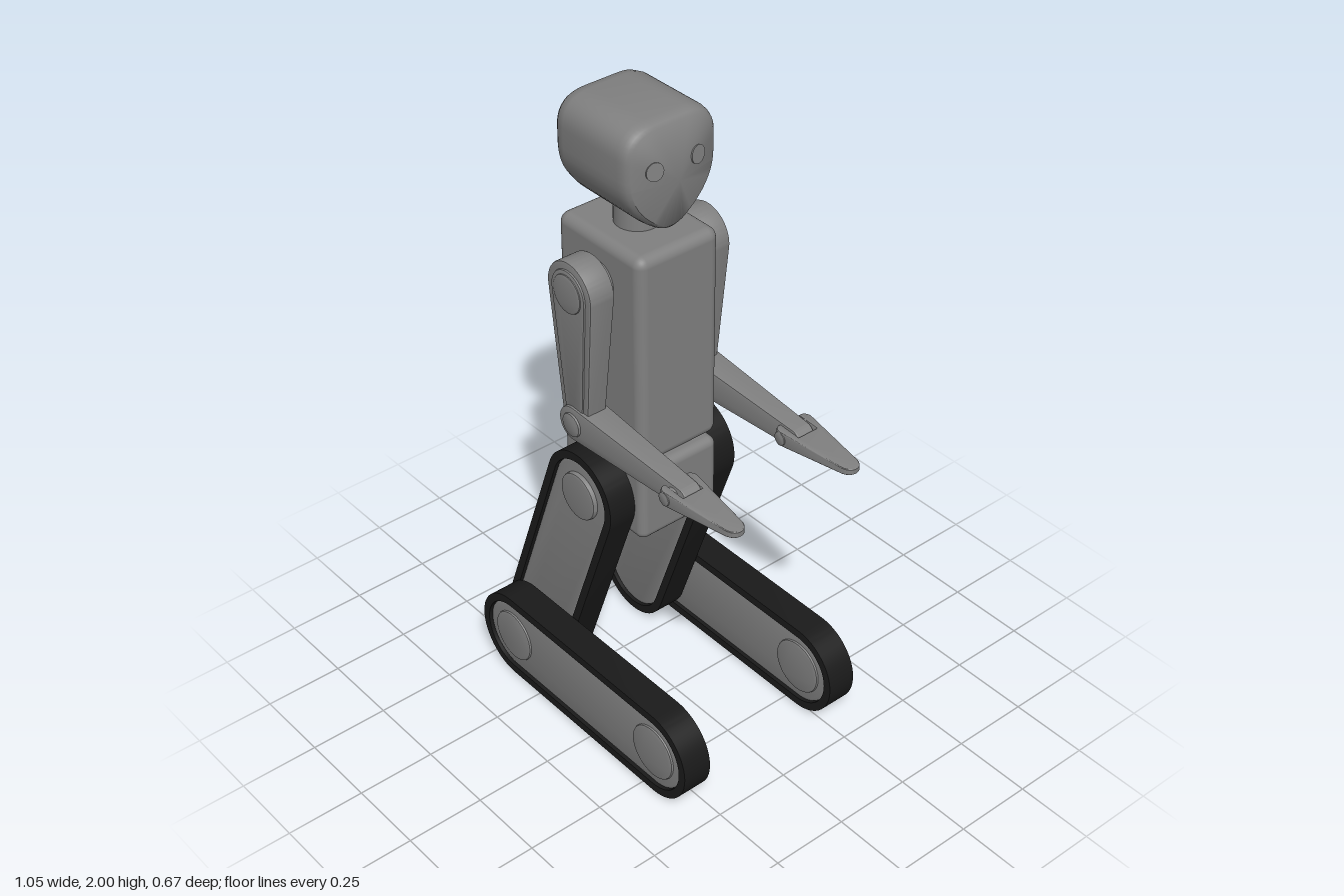
import * as THREE from 'three';
import { toCreasedNormals } from 'three/addons/utils/BufferGeometryUtils.js';
import { RoundedBoxGeometry } from 'three/addons/geometries/RoundedBoxGeometry.js';

const grey = new THREE.MeshStandardMaterial({ color: 0x808080 });
const rubber = new THREE.MeshStandardMaterial({ color: 0x1a1a1a });

function add(parent, name, geo, x = 0, y = 0, z = 0, mat = grey) {
  const mesh = new THREE.Mesh(geo, mat);
  mesh.name = name;
  mesh.position.set(x, y, z);
  parent.add(mesh);
  return mesh;
}

// Outline of a belt wrapped round two circles
function trace(path, [x1, y1, r1], [x2, y2, r2]) {
  const a = Math.atan2(y2 - y1, x2 - x1);
  const b = Math.acos((r1 - r2) / Math.hypot(x2 - x1, y2 - y1));
  path.absarc(x1, y1, r1, a + b, a - b + Math.PI * 2, false);
  path.absarc(x2, y2, r2, a - b, a + b, false);
  return path;
}

// Extrusion centred on z = 0, with a small bevel kept inside the outline
function slab(shape, width, bevel) {
  const geo = new THREE.ExtrudeGeometry(shape, {
    depth: width - 2 * bevel, curveSegments: 24, bevelEnabled: bevel > 0,
    bevelThickness: bevel, bevelSize: bevel, bevelOffset: -bevel, bevelSegments: 2,
  });
  return geo.translate(0, 0, bevel - width / 2);
}

function disc(r, width) {
  const shape = new THREE.Shape();
  shape.absarc(0, 0, r, 0, Math.PI * 2, false);
  return toCreasedNormals(slab(shape, width, 0.006), 0.5);
}

// Scale one axis of a geometry by a factor that depends on the position
function taper(geo, axis, factor) {
  const p = geo.attributes.position;
  for (let i = 0; i < p.count; i++)
    p.setComponent(i, axis, p.getComponent(i, axis) * factor(p.getX(i), p.getY(i)));
  return toCreasedNormals(geo, 0.5);
}

// Head: a shield outline swept along x, closed by a shallow pointed face
function headGeometry() {
  const s = new THREE.Shape();
  s.moveTo(0, 2.0);
  s.lineTo(0.06, 2.0);
  s.bezierCurveTo(0.12, 2.0, 0.158, 1.97, 0.158, 1.91);
  s.lineTo(0.158, 1.85);
  s.bezierCurveTo(0.158, 1.76, 0.09, 1.70, 0.04, 1.668);
  s.quadraticCurveTo(0.02, 1.657, 0, 1.657);
  const half = s.getPoints(10);
  const ring = [...half, ...half.slice(1, -1).reverse().map(p => new THREE.Vector2(-p.x, p.y))];
  const sections = [[-0.323, 0], [-0.323, 0.85], [-0.317, 0.91], [-0.304, 0.965], [-0.275, 1],
    [-0.05, 1], [-0.032, 0.985], [-0.018, 0.955], [-0.009, 0.9], [0.022, 0]];
  const n = ring.length, pos = [], index = [];
  for (const [x, k] of sections)
    for (const p of ring) pos.push(x, 1.825 + (p.y - 1.825) * k, p.x * k);
  for (let j = 0; j < sections.length - 1; j++)
    for (let i = 0; i < n; i++) {
      const a = j * n + i, b = j * n + (i + 1) % n;
      if (j > 0) index.push(a, b, a + n);
      if (j < sections.length - 2) index.push(b, b + n, a + n);
    }
  const geo = new THREE.BufferGeometry();
  geo.setAttribute('position', new THREE.Float32BufferAttribute(pos, 3));
  geo.setIndex(index);
  return toCreasedNormals(geo, 0.6);
}

// Flat pointed hand with a notch for the wrist, drawn as seen from above
function handGeometry() {
  const s = new THREE.Shape();
  s.moveTo(0.325, 0.034);
  s.lineTo(0.25, 0.034);
  s.quadraticCurveTo(0.245, 0.056, 0.272, 0.062);
  s.lineTo(0.495, 0.03);
  s.quadraticCurveTo(0.522, 0.022, 0.522, 0);
  s.quadraticCurveTo(0.522, -0.022, 0.495, -0.03);
  s.lineTo(0.272, -0.062);
  s.quadraticCurveTo(0.245, -0.056, 0.25, -0.034);
  s.lineTo(0.325, -0.034);
  const geo = slab(s, 0.05, 0.006).rotateX(Math.PI / 2);
  return taper(geo, 1, x => 1 - 0.6 * THREE.MathUtils.clamp((x - 0.27) / 0.25, 0, 1));
}

function buildArm(side) {
  const arm = new THREE.Group();
  arm.name = side > 0 ? 'leftArm' : 'rightArm';
  const z = side * 0.208;
  const thinDown = (x, y) => 1 + 0.25 * Math.min(0, (y - 1.49) / 0.44);

  // Upper arm: a wide link with a raised panel on each side
  add(arm, 'shoulderJoint', disc(0.062, 0.08), -0.15, 1.49, side * 0.165);
  add(arm, 'shoulderCap', disc(0.06, 0.104), -0.15, 1.49, z);
  const link = slab(trace(new THREE.Shape(), [-0.15, 1.49, 0.095], [-0.15, 1.05, 0.054]), 0.084, 0.006);
  add(arm, 'upperArm', taper(link, 2, thinDown), 0, 0, z);
  const panel = slab(trace(new THREE.Shape(), [-0.15, 1.49, 0.072], [-0.15, 1.05, 0.034]), 0.096, 0.006);
  add(arm, 'upperArmPanel', taper(panel, 2, thinDown), 0, 0, z);

  // Forearm and hand
  const fore = slab(trace(new THREE.Shape(), [-0.15, 1.052, 0.056], [0.295, 1.045, 0.031]), 0.09, 0.006);
  add(arm, 'forearm', taper(fore, 2, x => 1 - 0.34 * (x + 0.15) / 0.48), 0, 0, z);
  add(arm, 'elbowPin', disc(0.038, 0.104), -0.15, 1.05, z);
  add(arm, 'wristPin', disc(0.022, 0.126), 0.275, 1.047, side * 0.212);
  add(arm, 'hand', handGeometry(), 0, 1.047, side * 0.212);
  return arm;
}

// Leg segment: dark belt round a slightly recessed plate
function buildTrack(name, a, b, z, width) {
  const track = new THREE.Group();
  track.name = name;
  const inset = ([x, y, r], d) => [x, y, r - d];
  const belt = trace(new THREE.Shape(), a, b);
  belt.holes.push(trace(new THREE.Path(), inset(a, 0.027), inset(b, 0.027)));
  add(track, 'belt', toCreasedNormals(slab(belt, width, 0), 0.5), 0, 0, z, rubber);
  const plate = trace(new THREE.Shape(), inset(a, 0.026), inset(b, 0.026));
  add(track, 'plate', toCreasedNormals(slab(plate, width - 0.016, 0.01), 0.5), 0, 0, z);
  return track;
}

function buildLeg(side) {
  const leg = new THREE.Group();
  leg.name = side > 0 ? 'leftLeg' : 'rightLeg';
  const hip = [-0.15, 0.785, 0.145], knee = [-0.38, 0.147, 0.147], toe = [0.293, 0.147, 0.147];
  leg.add(buildTrack('thigh', hip, knee, side * 0.191, 0.09));
  leg.add(buildTrack('shin', knee, toe, side * 0.287, 0.096));
  add(leg, 'hipJoint', disc(0.076, 0.13), -0.15, 0.785, side * 0.178);
  add(leg, 'kneeJoint', disc(0.085, 0.15), -0.38, 0.147, side * 0.259);
  add(leg, 'footDisc', disc(0.09, 0.094), 0.29, 0.147, side * 0.287);
  return leg;
}

export function createModel() {
  const model = new THREE.Group();
  model.name = 'kneelingRobot';

  // Body
  add(model, 'torso', new RoundedBoxGeometry(0.36, 0.69, 0.288, 4, 0.032), -0.156, 1.28, 0);
  add(model, 'pelvis', new RoundedBoxGeometry(0.36, 0.248, 0.288, 4, 0.026), -0.156, 0.793, 0);
  add(model, 'waist', new THREE.CylinderGeometry(0.068, 0.068, 0.08, 40), -0.157, 0.925, 0);
  add(model, 'neck', new THREE.CylinderGeometry(0.068, 0.068, 0.16, 40), -0.157, 1.67, 0);

  // Head, with eyes set nearly flush into the sloping face
  add(model, 'head', headGeometry());
  const eyeGeo = new THREE.CylinderGeometry(0.027, 0.027, 0.03, 24).rotateZ(-Math.PI / 2);
  for (const side of [-1, 1]) {
    const eye = add(model, side > 0 ? 'leftEye' : 'rightEye', eyeGeo, -0.005, 1.87, side * 0.072);
    eye.rotation.set(0, -side * 0.18, 0.1);
  }

  // Limbs
  for (const side of [-1, 1]) model.add(buildArm(side), buildLeg(side));
  return model;
}
